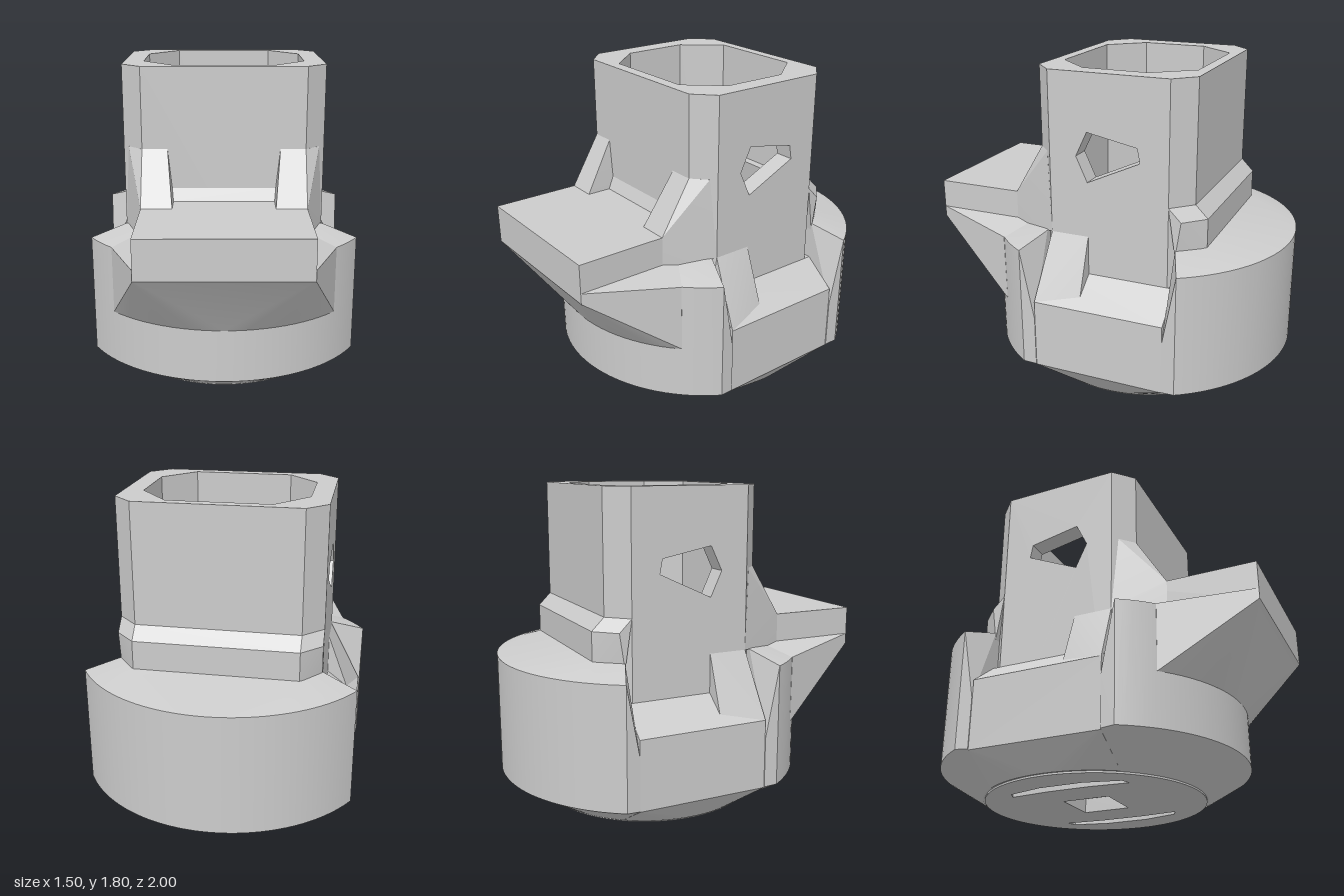
import * as THREE from 'three';
import { ConvexGeometry } from 'three/addons/geometries/ConvexGeometry.js';
import { toCreasedNormals } from 'three/addons/utils/BufferGeometryUtils.js';

const CZ = -0.125; // centre of the round base
const R = 0.875;

export function createModel() {
  const group = new THREE.Group();
  const material = new THREE.MeshStandardMaterial({ color: 0xcccccc });
  const thin = new THREE.MeshStandardMaterial({ color: 0xcccccc, side: THREE.DoubleSide, flatShading: true });

  const add = (name, geometry, mat = material) => {
    const mesh = new THREE.Mesh(geometry, mat);
    mesh.name = name;
    group.add(mesh);
    return mesh;
  };
  // Convex solid around points; mirrored pairs come from both()
  const hull = (name, pts) =>
    add(name, toCreasedNormals(new ConvexGeometry(pts.map((p) => new THREE.Vector3(...p))), 0.3));
  const both = (pts) => pts.flatMap(([x, y, z]) => [[x, y, z], [-x, y, z]]);
  const flip = (pts, s) => pts.map(([x, y, z]) => [x * s, y, z]);

  // Points on a circle round the base axis; angle 0 faces +z
  const arc = (r, y, from, to, n) => Array.from({ length: n + 1 }, (_, i) => {
    const a = from + ((to - from) * i) / n;
    return [r * Math.sin(a), y, CZ + r * Math.cos(a)];
  });
  // Upright prism from an x, z outline
  const prism = (name, outline, y0, y1, holes = []) => {
    const toShape = (pts) => pts.map(([x, z]) => new THREE.Vector2(x, -z));
    const shape = new THREE.Shape(toShape(outline));
    holes.forEach((h) => shape.holes.push(new THREE.Path(toShape(h))));
    const g = new THREE.ExtrudeGeometry(shape, { depth: y1 - y0, bevelEnabled: false });
    g.rotateX(-Math.PI / 2).translate(0, y0, 0);
    return add(name, toCreasedNormals(g, 0.4));
  };

  // Round front and back parts of the base
  const wide = Math.asin(0.75 / R);
  const low = Math.acos(0.375 / 0.63);
  for (const [name, mid, zIn, top] of [
    ['baseFront', 0, 0.25, [[0.56, 0.9, 0.25], [0.45, 0.9, 0.4]]],
    ['baseBack', Math.PI, -0.5, [[0.56, 0.9, -0.5], [0.45, 0.9, -0.64]]],
  ]) {
    hull(name, [
      ...arc(0.63, 0.01, mid - low, mid + low, 32),
      ...arc(R, 0.16, mid - wide, mid + wide, 40),
      ...arc(R, 0.84, mid - wide, mid + wide, 40),
      ...both([[0.745, 0.155, zIn], [0.745, 0.44, zIn], ...top]),
    ]);
  }

  for (const s of [1, -1]) {
    const side = s > 0 ? 'left' : 'right';
    // Flat side of the base with sloped shoulder
    const rim = Math.PI / 2 - low;
    hull(side + 'BaseSide', flip([
      ...arc(0.63, 0.01, Math.PI / 2 - rim, Math.PI / 2 + rim, 16),
      ...[0.25, -0.5].flatMap((z) => [
        [0.74, 0.15, z], [0.74, 0.54, z], [0.56, 0.68, z], [0.45, 0.68, z], [0.45, 0.01, z],
      ]),
    ], s));
    // Rib leaning on the tower side
    hull(side + 'SideRib', flip([
      [0.56, 0.9, 0], [0.56, 0.9, 0.22], [0.74, 0.54, 0.25], [0.68, 0.58, 0],
      [0.52, 0.5, 0], [0.52, 0.5, 0.25],
    ], s));
    // Gusset between shelf and tower
    hull(side + 'Gusset', flip([
      [0.28, 1.06, 0.5], [0.45, 1.06, 0.5], [0.45, 0.86, 0.5], [0.28, 0.9, 0.3], [0.28, 1.06, 0.3],
      [0.31, 1.35, 0.325], [0.45, 1.35, 0.325], [0.53, 1.35, 0.25], [0.56, 0.9, 0.22],
    ], s));
    // Tower side wall with an angular window
    const wall = new THREE.Shape([[-0.22, 0.12], [0.46, 0.12], [0.46, 1.8], [-0.22, 1.8]]
      .map((p) => new THREE.Vector2(...p)));
    wall.holes.push(new THREE.Path([[-0.065, 1.35], [0, 1.485], [0.285, 1.43], [0.3, 1.35], [0, 1.21]]
      .map((p) => new THREE.Vector2(...p))));
    const g = new THREE.ExtrudeGeometry(wall, { depth: 0.11, bevelEnabled: false });
    g.rotateY(Math.PI / 2).translate(s > 0 ? 0.45 : -0.56, 0, 0);
    add(side + 'TowerWall', g);
  }

  // Front and back tower walls with chamfered corners
  const towerWall = (name, half) =>
    prism(name, [...half, ...half.map(([x, z]) => [-x, z]).reverse()], 0.12, 1.8);
  towerWall('frontTowerWall', [[0.28, 0.26], [0.45, 0.07], [0.45, 0.22], [0.56, 0.22], [0.45, 0.325]]);
  towerWall('backTowerWall', [[0.28, -0.51], [0.45, -0.3], [0.45, -0.46], [0.56, -0.46], [0.45, -0.57]]);

  // Front shelf, its corbel and the small fillet behind it
  hull('shelf', both([
    [0.45, 0.84, 1], [0.45, 1.06, 1], [0.45, 0.84, 0.3], [0.45, 1.06, 0.3],
  ]));
  const corbel = Math.asin(0.615 / R);
  hull('shelfCorbel', [
    ...arc(R, 0.46, -corbel, corbel, 24),
    ...both([[0.45, 0.84, 1], [0.45, 0.9, 1], [0.615, 0.84, 0.5], [0.45, 0.9, 0.3], [0.45, 0.46, 0.3]]),
  ]);
  hull('shelfFillet', both([[0.29, 1.06, 0.36], [0.29, 1.13, 0.325], [0.29, 1.06, 0.3], [0.29, 1.13, 0.3]]));

  // Stepped ledge on the back of the tower
  hull('backLedge', both([
    [0.45, 0.86, -0.64], [0.45, 1.06, -0.64], [0.45, 1.13, -0.57],
    [0.56, 0.86, -0.5], [0.56, 1.06, -0.53], [0.56, 1.13, -0.46], [0.45, 0.86, -0.52], [0.45, 1.13, -0.52],
  ]));

  // Underside plate with a square socket and two curved slots
  const disc = arc(0.62, 0, 0, Math.PI * 2, 64).slice(0, -1).map(([x, , z]) => [x, z]);
  const square = [[-0.135, 0.01], [0.135, 0.01], [0.135, -0.26], [-0.135, -0.26]];
  const slot = (s) => [[0.33, 0.22], [0.38, 0.2], [0.43, 0], [0.43, -0.25], [0.38, -0.45],
    [0.33, -0.47], [0.35, -0.25], [0.35, 0]].map(([x, z]) => [x * s, z]);
  prism('bottomPlate', disc, 0, 0.08, [square, slot(1), slot(-1)]);
  add('socketFloor', new THREE.BoxGeometry(1, 0.06, 0.78)).position.set(0, 0.11, CZ);

  // Funnel inside the tower, from the eight-sided bore to a round floor
  const bore = [[0.45, 0.07], [0.45, -0.3], [0.28, -0.51], [-0.28, -0.51],
    [-0.45, -0.3], [-0.45, 0.07], [-0.28, 0.26], [0.28, 0.26]];
  const upper = [];
  bore.forEach(([x, z], i) => {
    const [x2, z2] = bore[(i + 1) % 8];
    for (let k = 0; k < 4; k++) upper.push([x + ((x2 - x) * k) / 4, 0.5, z + ((z2 - z) * k) / 4]);
  });
  const lower = upper.map(([x, , z]) => {
    const d = Math.hypot(x, z - CZ);
    return [(0.16 * x) / d, 0.2, CZ + (0.16 * (z - CZ)) / d];
  });
  const faces = [];
  upper.forEach((u, i) => {
    const j = (i + 1) % upper.length;
    faces.push(u, upper[j], lower[i], upper[j], lower[j], lower[i], lower[i], lower[j], [0, 0.2, CZ]);
  });
  const funnel = new THREE.BufferGeometry();
  funnel.setAttribute('position', new THREE.Float32BufferAttribute(faces.flat(), 3));
  funnel.computeVertexNormals();
  add('boreFunnel', funnel, thin);

  return group;
}
